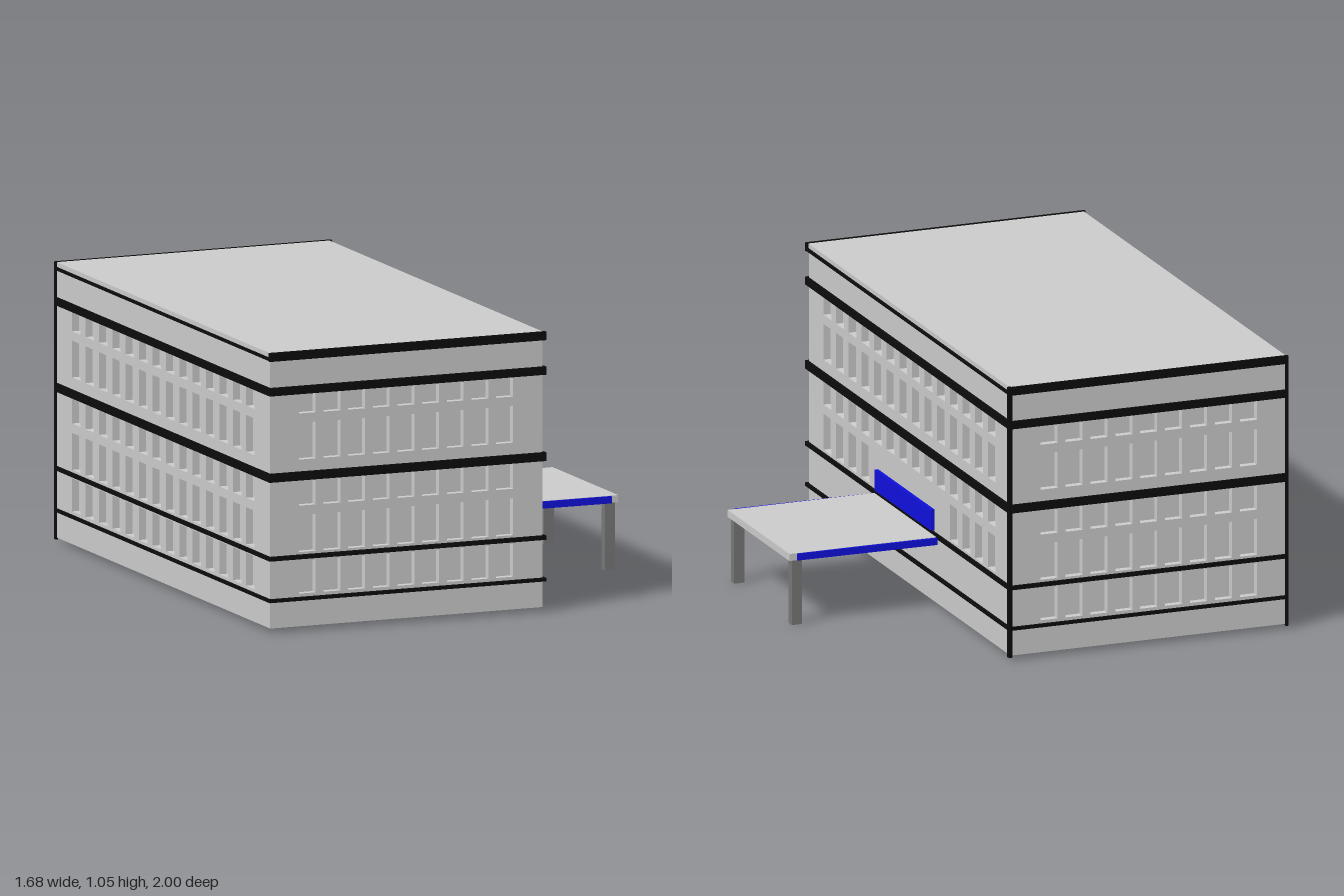
import * as THREE from 'three';

const grey = new THREE.MeshStandardMaterial({ color: 0xcccccc });
const black = new THREE.MeshStandardMaterial({ color: 0x0c0c0c });
const blue = new THREE.MeshStandardMaterial({ color: 0x1010dd });
const darkGrey = new THREE.MeshStandardMaterial({ color: 0x777777 });

// Wall limits of the main block and depth of the window recesses
const X0 = -0.838, X1 = 0.25, Z0 = -0.992, Z1 = 0.988;
const BASE = 0.018, EAVES = 1.02, TOP = 1.045, RECESS = 0.028;

// Box given by its limits on each axis
function box(parent, name, material, [x0, x1], [y0, y1], [z0, z1]) {
  const mesh = new THREE.Mesh(new THREE.BoxGeometry(x1 - x0, y1 - y0, z1 - z0), material);
  mesh.position.set((x0 + x1) / 2, (y0 + y1) / 2, (z0 + z1) / 2);
  mesh.name = name;
  parent.add(mesh);
  return mesh;
}

// Wall panel from u0 to u1 with window openings cut through it
function wall(parent, name, u0, u1, columns, width, rows, skip = () => false) {
  const shape = new THREE.Shape([
    new THREE.Vector2(u0, BASE), new THREE.Vector2(u1, BASE),
    new THREE.Vector2(u1, EAVES), new THREE.Vector2(u0, EAVES),
  ]);
  for (const [y0, y1] of rows) {
    for (const u of columns) {
      if (skip(u, y0)) continue;
      const a = u - width / 2, b = u + width / 2;
      shape.holes.push(new THREE.Path([
        new THREE.Vector2(a, y0), new THREE.Vector2(a, y1),
        new THREE.Vector2(b, y1), new THREE.Vector2(b, y0),
      ]));
    }
  }
  const geometry = new THREE.ExtrudeGeometry(shape, { depth: RECESS, bevelEnabled: false });
  const mesh = new THREE.Mesh(geometry, grey);
  mesh.name = name;
  parent.add(mesh);
  return mesh;
}

export function createModel() {
  const model = new THREE.Group();
  model.name = 'hospitalBuilding';

  // Window grid
  const rows = [[0.14, 0.263], [0.295, 0.433], [0.468, 0.56], [0.64, 0.777], [0.812, 0.885]];
  const endColumns = Array.from({ length: 9 }, (_, i) => -0.69 + i * 0.0985);
  const sideColumns = Array.from({ length: 15 }, (_, i) => 0.805 - i * 0.124);

  // Four walls; the entrance side has no ground row and a gap behind the sign
  const walls = new THREE.Group();
  walls.name = 'walls';
  model.add(walls);
  wall(walls, 'frontWall', X0, X1, endColumns, 0.067, rows).position.z = Z1 - RECESS;
  wall(walls, 'backWall', X0, X1, endColumns, 0.067, rows).position.z = Z0;
  const right = wall(walls, 'entranceWall', Z0 + RECESS, Z1 - RECESS, sideColumns, 0.078,
    rows.slice(1), (u, y) => y < 0.4 && Math.abs(u) < 0.4);
  const left = wall(walls, 'leftWall', Z0 + RECESS, Z1 - RECESS, sideColumns, 0.078, rows);
  right.rotation.y = left.rotation.y = -Math.PI / 2;
  right.position.x = X1;
  left.position.x = X0 + RECESS;

  // Inner core forms the window panes and the underside
  box(model, 'windowPanes', grey, [X0 + RECESS, X1 - RECESS], [BASE, EAVES],
    [Z0 + RECESS, Z1 - RECESS]);
  box(model, 'roof', grey, [X0, X1 + 0.002], [EAVES, TOP], [Z0, Z1]);

  // Black bands round the block
  const bands = new THREE.Group();
  bands.name = 'bands';
  model.add(bands);
  for (const [y0, y1] of [[0.115, 0.128], [0.27, 0.286], [0.564, 0.596], [0.886, 0.916]]) {
    box(bands, 'storeyBand', black, [-0.845, 0.26], [y0, y1], [-1, 1]);
  }
  for (const z of [[-1, Z0], [Z1, 1]]) {
    box(bands, 'roofEdgeBand', black, [-0.845, 0.26], [1.015, TOP + 0.002], z);
  }
  for (const x of [[-0.845, X0], [X1, 0.26]]) {
    box(bands, 'roofSideStrip', black, x, [1.017, 1.028], [Z0, Z1]);
  }

  // Black posts on the back corners
  box(model, 'cornerPost', black, [0.245, 0.26], [0.012, TOP], [-1, -0.98]);
  box(model, 'cornerPost', black, [-0.845, -0.835], [0.012, TOP], [-1, -0.985]);

  // Entrance canopy with slightly splayed blue fascias and two posts
  const canopy = new THREE.Group();
  canopy.name = 'entranceCanopy';
  model.add(canopy);
  box(canopy, 'canopySlab', grey, [0.25, 0.84], [0.25, 0.277], [-0.287, 0.32]);
  const fascias = [[-0.296, -0.287], [0.318, 0.327]];
  for (const z of fascias) {
    box(canopy, 'canopyFascia', blue, [0.26, 0.81], [0.25, 0.276], z).rotation.y = -0.012;
  }
  for (const z of [[-0.275, -0.242], [0.293, 0.323]]) {
    box(canopy, 'canopyPost', darkGrey, [0.785, 0.826], [0, 0.251], z);
  }

  // Blank sign board above the canopy
  box(model, 'signBoard', blue, [X1 - 0.002, 0.264], [0.29, 0.37], [-0.245, 0.308]);

  return model;
}
